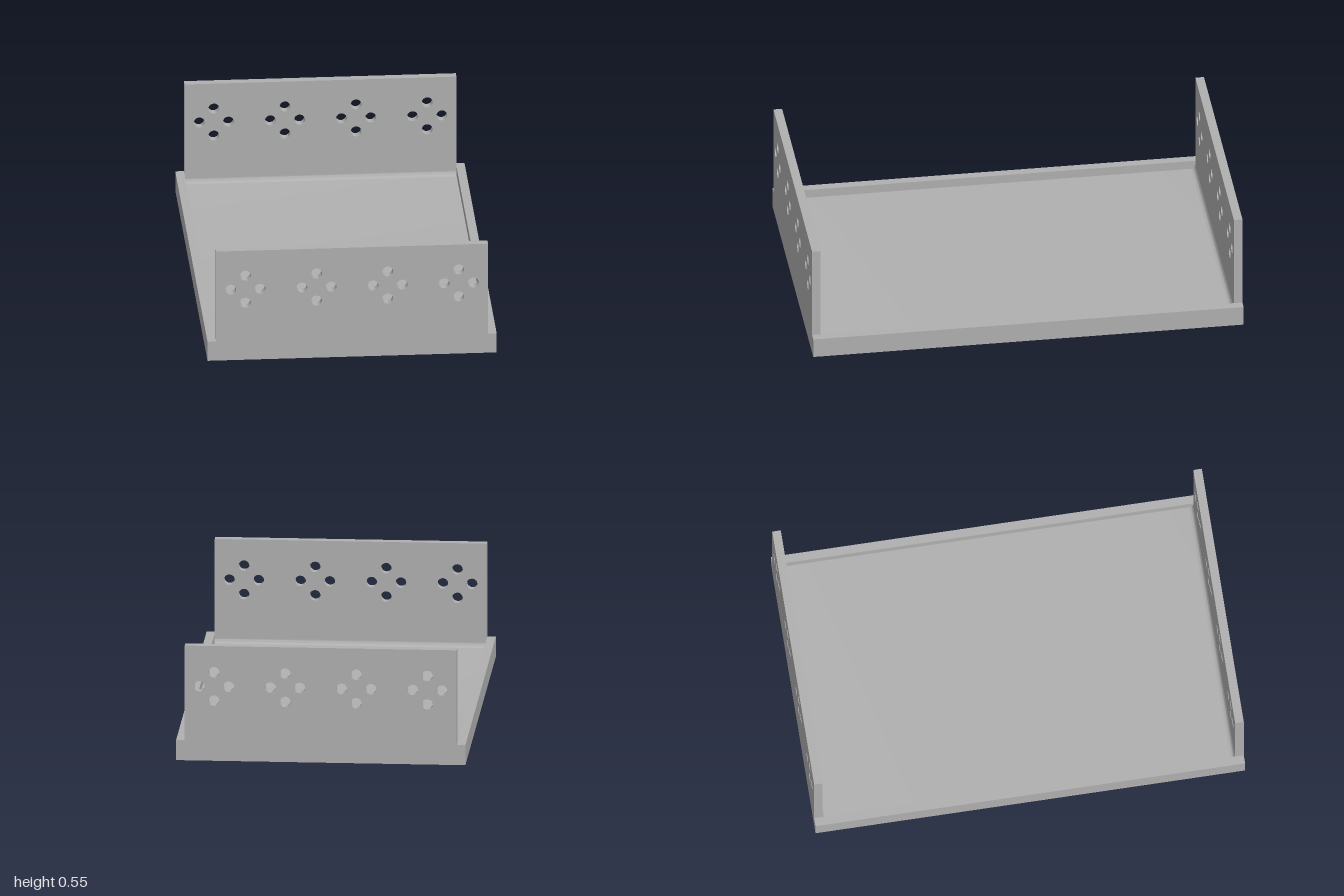
import * as THREE from 'three';
import { toCreasedNormals } from 'three/addons/utils/BufferGeometryUtils.js';

const W = 0.667;    // half width
const L = 1;        // half length
const T = 0.04;     // wall thickness
const LIP = 0.095;  // rim height
const TOP = 0.545;  // end wall height
const FLOOR = 0.053;
const FILLET = 0.022;

// Extrude a shape along z, centred, keeping the sharp edges.
function extrudeCentred(shape, depth) {
  const geo = new THREE.ExtrudeGeometry(shape, { depth, bevelEnabled: false, curveSegments: 10 });
  geo.translate(0, 0, -depth / 2);
  return toCreasedNormals(geo, 0.7);
}

// Stepped end wall with four diamonds of round holes.
function endWallGeometry() {
  const inner = W - T;
  const shape = new THREE.Shape([
    [-W, 0], [W, 0], [W, LIP], [inner, LIP], [inner, TOP],
    [-inner, TOP], [-inner, LIP], [-W, LIP],
  ].map(([x, y]) => new THREE.Vector2(x, y)));
  const d = 0.0675;
  for (let i = 0; i < 4; i++) {
    const cx = -0.492 + i * 0.328;
    for (const [dx, dy] of [[d, 0], [-d, 0], [0, d], [0, -d]]) {
      const hole = new THREE.Path();
      hole.absarc(cx + dx, 0.353 + dy, 0.025, 0, Math.PI * 2, true);
      shape.holes.push(hole);
    }
  }
  return extrudeCentred(shape, T);
}

// Floor profile curving up into the end walls.
function floorGeometry() {
  const e = L - T;
  const r = FILLET;
  const shape = new THREE.Shape();
  shape.moveTo(-e, 0);
  shape.lineTo(e, 0);
  shape.lineTo(e, FLOOR + r);
  shape.absarc(e - r, FLOOR + r, r, 0, -Math.PI / 2, true);
  shape.lineTo(-e + r, FLOOR);
  shape.absarc(-e + r, FLOOR + r, r, -Math.PI / 2, -Math.PI, true);
  shape.closePath();
  const geo = extrudeCentred(shape, 2 * (W - T));
  geo.rotateY(Math.PI / 2);
  return geo;
}

export function createModel() {
  const model = new THREE.Group();
  model.name = 'tray';
  const grey = new THREE.MeshStandardMaterial({ color: 0xb0b0b0 });
  grey.name = 'grey';

  const add = (name, geo, x, y, z) => {
    const mesh = new THREE.Mesh(geo, grey);
    mesh.name = name;
    mesh.position.set(x, y, z);
    model.add(mesh);
  };

  add('floor', floorGeometry(), 0, 0, 0);

  // End walls
  const wall = endWallGeometry();
  add('frontWall', wall, 0, 0, L - T / 2);
  add('backWall', wall, 0, 0, -L + T / 2);

  // Low side rims
  const rim = new THREE.BoxGeometry(T, LIP, 2 * (L - T));
  add('leftRim', rim, W - T / 2, LIP / 2, 0);
  add('rightRim', rim, -W + T / 2, LIP / 2, 0);

  return model;
}
